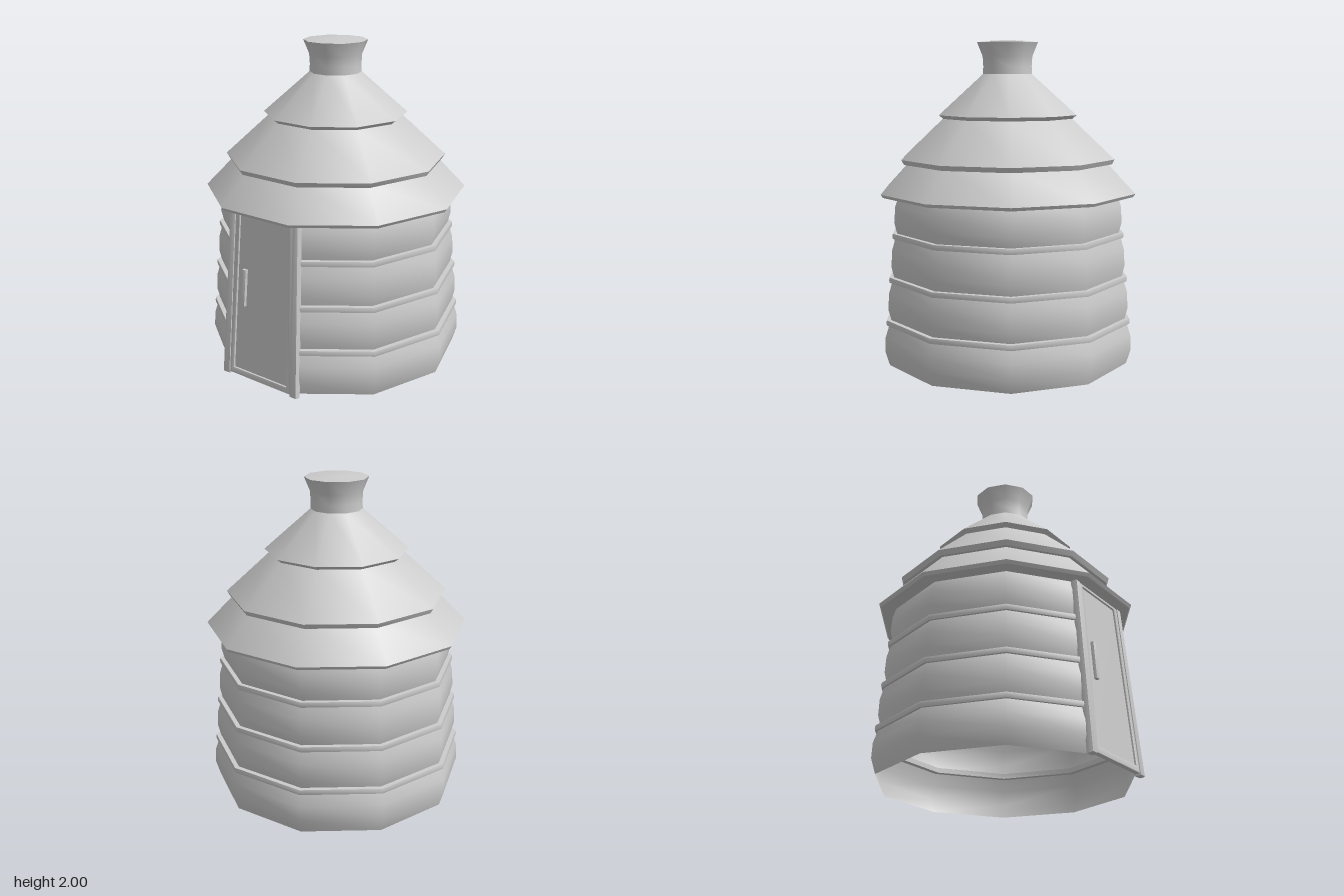
import * as THREE from 'three';
import { toCreasedNormals } from 'three/addons/utils/BufferGeometryUtils.js';

const SIDES = 10;
const STEP = (Math.PI * 2) / SIDES;
const material = new THREE.MeshStandardMaterial({ color: 0xcccccc, side: THREE.DoubleSide });

function addMesh(parent, name, geometry) {
  const mesh = new THREE.Mesh(geometry, material);
  mesh.name = name;
  parent.add(mesh);
  return mesh;
}

// Ten-sided ring around y; an open ring leaves out the front side for the door
function ring(profile, open = false) {
  const points = profile.map(([r, y]) => new THREE.Vector2(r, y));
  const geometry = new THREE.LatheGeometry(
    points, open ? SIDES - 1 : SIDES, STEP / 2, open ? STEP * (SIDES - 1) : Math.PI * 2);
  return toCreasedNormals(geometry, 0.75);
}

function polygon(corners, Type = THREE.Shape) {
  return new Type(corners.map(([x, y]) => new THREE.Vector2(x, y)));
}

// Plate between z = back and z = front, with softened edges
function plate(shape, back, front, bevel = 0.006) {
  const geometry = new THREE.ExtrudeGeometry(shape, {
    depth: front - back - 2 * bevel, bevelEnabled: bevel > 0,
    bevelSize: bevel, bevelThickness: bevel, bevelOffset: -bevel, bevelSegments: 2,
  });
  geometry.translate(0, 0, back + bevel);
  return toCreasedNormals(geometry, 0.7);
}

// Trapezoid symmetric about x = 0
const trapezoid = (bottom, top, y0, y1) => [[-bottom, y0], [bottom, y0], [top, y1], [-top, y1]];

function createWalls() {
  const walls = new THREE.Group();
  walls.name = 'walls';

  // Four bulging courses, each a little narrower than the one below
  const courses = [
    [[0.77, 0.01], [0.798, 0.1], [0.794, 0.19], [0.765, 0.28]],
    [[0.752, 0.28], [0.773, 0.36], [0.769, 0.46], [0.742, 0.55]],
    [[0.732, 0.55], [0.75, 0.63], [0.744, 0.73], [0.718, 0.82]],
    [[0.708, 0.82], [0.728, 0.9], [0.72, 1.0], [0.695, 1.07]],
  ];
  courses.forEach((profile) => addMesh(walls, 'wallCourse', ring(profile, true)));

  // Hoops over the seams
  [[0.785, 0.28], [0.763, 0.547], [0.738, 0.817]].forEach(([r, y]) => {
    const h = 0.016, inner = r - 0.05;
    addMesh(walls, 'hoop', ring([
      [inner, y - h], [r, y - h], [r + 0.003, y], [r, y + h], [inner, y + h], [inner, y - h],
    ], true));
  });
  return walls;
}

function createRoof() {
  const roof = new THREE.Group();
  roof.name = 'roof';

  // Overlapping tiers with a short turned-in rim
  addMesh(roof, 'lowerTier', ring([[0.68, 1.06], [0.795, 1.055], [0.808, 1.075], [0.63, 1.26]]));
  addMesh(roof, 'middleTier', ring([[0.61, 1.255], [0.662, 1.25], [0.678, 1.28], [0.405, 1.53]]));
  addMesh(roof, 'upperTier', ring([[0.39, 1.525], [0.41, 1.52], [0.44, 1.545], [0.155, 1.795]]));

  // Flared tuft with a shallow domed top
  addMesh(roof, 'tuft', ring([
    [0.158, 1.79], [0.156, 1.84], [0.16, 1.9], [0.195, 1.985], [0.1, 1.996], [0, 2],
  ]));
  return roof;
}

function createDoor() {
  const door = new THREE.Group();
  door.name = 'door';

  // Posts on both sides, leaning inwards
  for (const s of [-1, 1]) {
    const post = polygon([[s * 0.238, 0.004], [s * 0.29, 0.004], [s * 0.258, 1.06], [s * 0.215, 1.06]]);
    addMesh(door, 'post', plate(post, -0.045, 0, 0.01));
  }

  // Inner frame around the leaf
  const frame = polygon(trapezoid(0.24, 0.217, 0.015, 1.06));
  frame.holes.push(polygon(trapezoid(0.206, 0.184, 0.055, 1.042), THREE.Path));
  addMesh(door, 'doorFrame', plate(frame, -0.04, -0.006));

  addMesh(door, 'doorLeaf', plate(polygon(trapezoid(0.215, 0.193, 0.04, 1.05)), -0.03, -0.018, 0));

  // Upright handle on the outside and the inside
  const handle = polygon([[-0.155, 0.47], [-0.127, 0.47], [-0.121, 0.7], [-0.149, 0.7]]);
  addMesh(door, 'outerHandle', plate(handle, -0.022, 0.002, 0.004));
  addMesh(door, 'innerHandle', plate(handle, -0.05, -0.026, 0.004));

  // Lean back to follow the wall
  door.rotation.x = -0.076;
  door.position.z = 0.77;
  return door;
}

export function createModel() {
  const hut = new THREE.Group();
  hut.name = 'hut';
  hut.add(createWalls(), createRoof(), createDoor());
  return hut;
}
